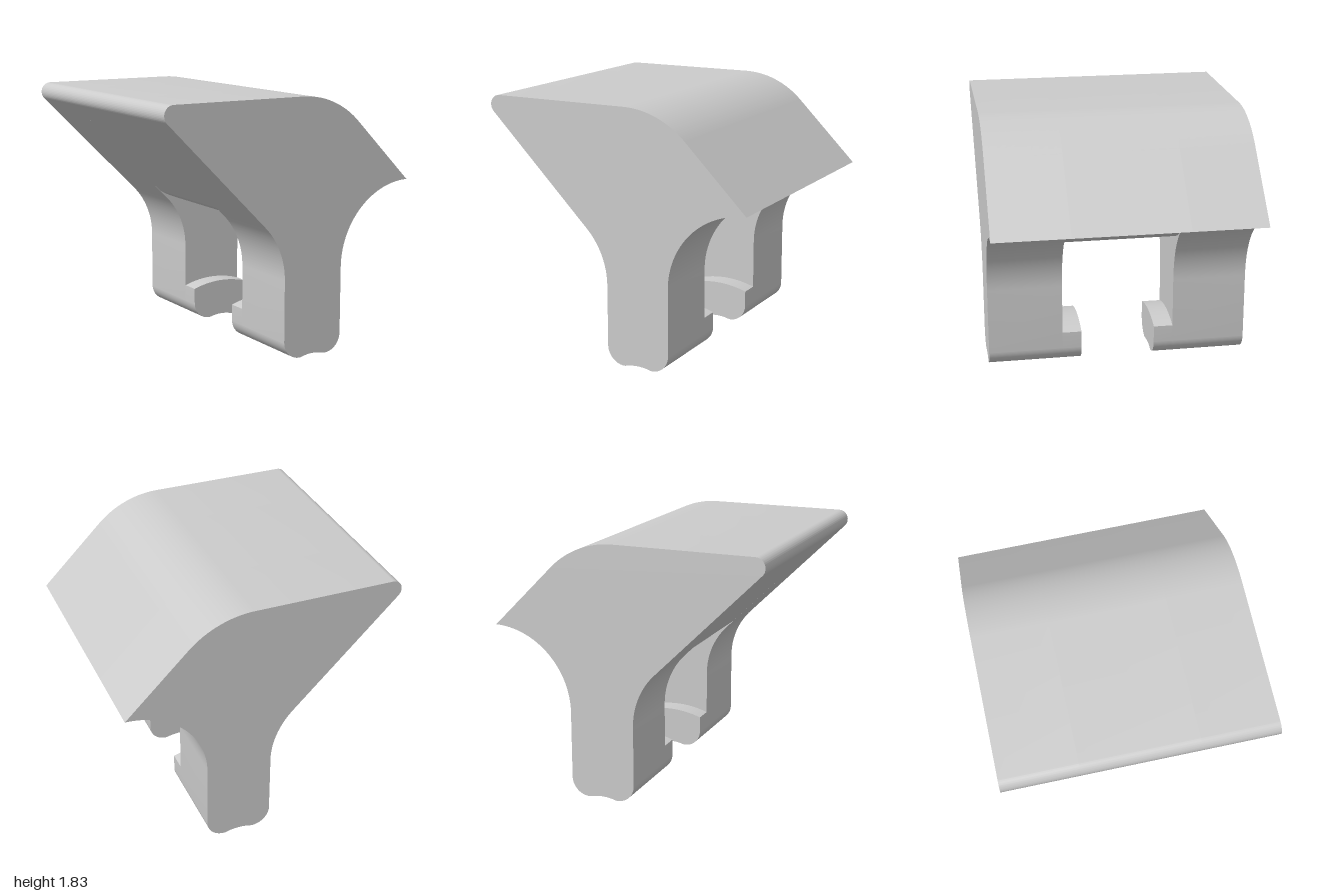
import * as THREE from 'three';
import { toCreasedNormals } from 'three/addons/utils/BufferGeometryUtils.js';

const PI = Math.PI;
const HALF_DEPTH = 0.95; // outer z faces
const SLOT = 0.41;       // half width of the opening between the legs
const LIP = 0.27;        // inner z face of the foot lips

const material = new THREE.MeshStandardMaterial({ color: 0xcccccc });

// Circular arc whose end angles come from two points
function arcThrough(shape, cx, cy, r, from, to, clockwise) {
  const angle = ([x, y]) => Math.atan2(y - cy, x - cx);
  shape.absarc(cx, cy, r, angle(from), angle(to), clockwise);
}

// Upper outline, from the right tip over the top to the sloping left side
function traceHead(shape) {
  shape.lineTo(1, 1.19);
  shape.absarc(0.08, 1.17, 0.665, PI / 4, PI / 2, false);
  shape.absarc(-0.93, 1.765, 0.07, PI / 2, PI * 1.25, false);
}

// Rounded sole with a shallow hollow, traced left to right
function traceSole(shape) {
  shape.absarc(0.07, 0.13, 0.13, PI, PI * 1.52, false);
  shape.quadraticCurveTo(0.18, 0.03, 0.28, 0.001);
  shape.absarc(0.29, 0.13, 0.13, PI * 1.48, PI * 2, false);
}

// Full side profile: head, neck fillets and leg
function sideProfile() {
  const s = new THREE.Shape();
  s.moveTo(1, 1.19);
  traceHead(s);
  s.absarc(-0.61, 0.57, 0.55, PI / 4, 0, true);
  traceSole(s);
  s.absarc(1, 0.61, 0.58, PI, PI / 2, true);
  return s;
}

// Head profile above the opening, with a bowed underside
function bridgeProfile() {
  const left = [-0.28, 1.018], right = [0.66, 1.08];
  const s = new THREE.Shape();
  s.moveTo(1, 1.19);
  traceHead(s);
  s.lineTo(...left);
  arcThrough(s, 0.145, 1.755, 0.85, left, right, false);
  arcThrough(s, 1, 0.61, 0.58, right, [1, 1.19], true);
  return s;
}

// Low foot profile with an arched top
function lipProfile() {
  const left = [-0.06, 0.245], right = [0.42, 0.245];
  const s = new THREE.Shape();
  s.moveTo(...left);
  traceSole(s);
  s.lineTo(...right);
  arcThrough(s, 0.18, -0.455, 0.74, right, left, false);
  return s;
}

function slab(name, profile, z0, z1) {
  const geometry = new THREE.ExtrudeGeometry(profile, {
    depth: z1 - z0, bevelEnabled: false, curveSegments: 32,
  });
  geometry.translate(0, 0, z0);
  const mesh = new THREE.Mesh(toCreasedNormals(geometry, PI / 7), material);
  mesh.name = name;
  return mesh;
}

export function createModel() {
  const group = new THREE.Group();
  group.name = 'clip';
  group.add(slab('bridge', bridgeProfile(), -SLOT, SLOT));

  // Matching leg and inward lip at each end
  group.add(slab('frontLeg', sideProfile(), SLOT, HALF_DEPTH));
  group.add(slab('backLeg', sideProfile(), -HALF_DEPTH, -SLOT));
  group.add(slab('frontLip', lipProfile(), LIP, SLOT));
  group.add(slab('backLip', lipProfile(), -SLOT, -LIP));
  return group;
}
